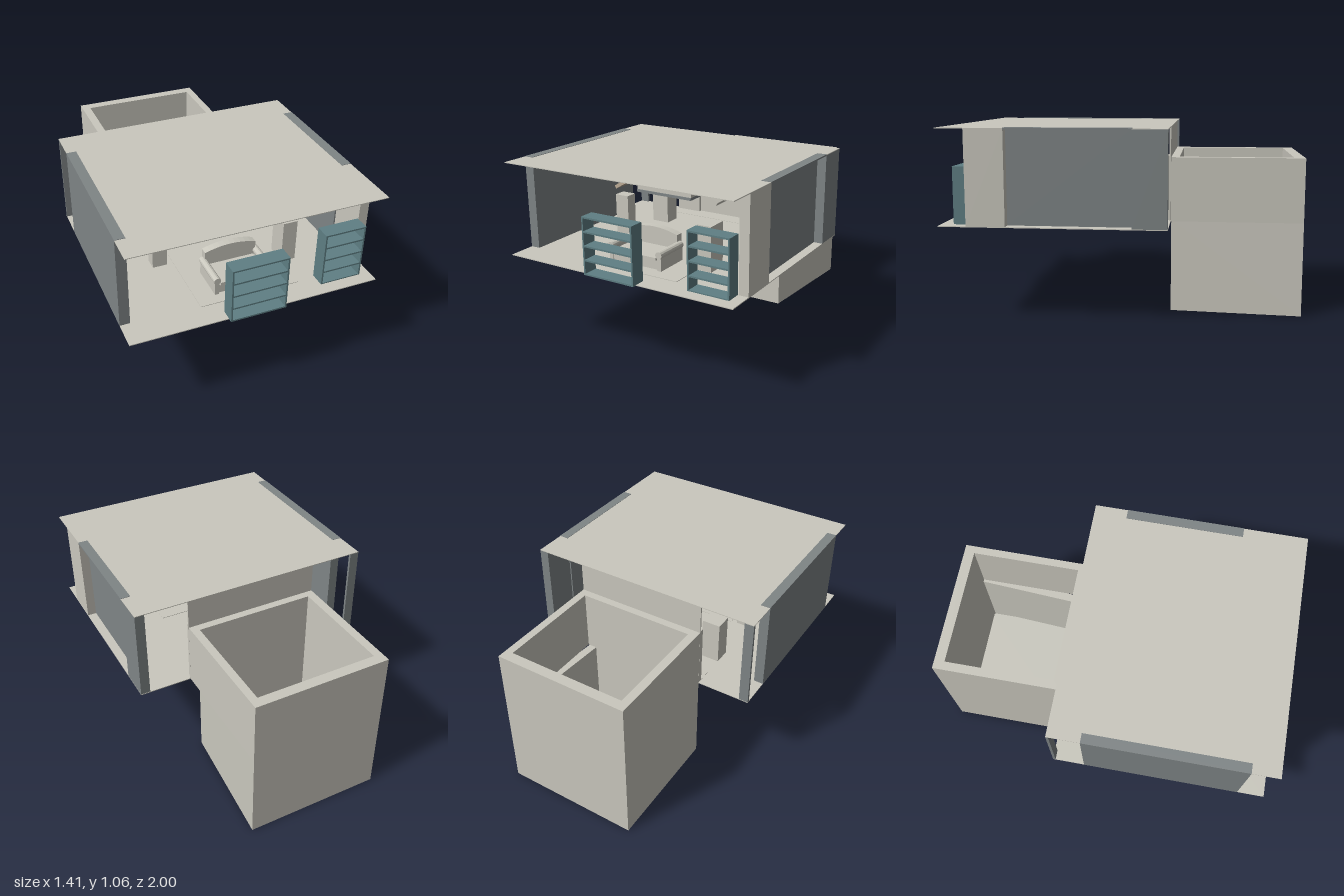
import * as THREE from 'three';

const mat = (color, side = THREE.FrontSide) =>
  new THREE.MeshStandardMaterial({ color, side, flatShading: true });
const cream = mat(0xcac8be, THREE.DoubleSide);
const slate = mat(0x7f8586, THREE.DoubleSide);
const teal = mat(0x5f7f84);
const tan = mat(0xbfae98);

const FLOOR = 0.535, CEIL = 1.058;

export function createModel() {
  const model = new THREE.Group();

  // Box given by its minimum and maximum corners
  const box = (name, [x0, x1], [y0, y1], [z0, z1], material = cream, parent = model) => {
    const mesh = new THREE.Mesh(new THREE.BoxGeometry(x1 - x0, y1 - y0, z1 - z0), material);
    mesh.position.set((x0 + x1) / 2, (y0 + y1) / 2, (z0 + z1) / 2);
    mesh.name = name;
    parent.add(mesh);
    return mesh;
  };

  // Hollow wall ring: plan outline with a rectangular hole, raised from y0 to y1
  const ring = (name, outline, hole, y0, y1) => {
    const toPoints = pts => pts.map(([x, z]) => new THREE.Vector2(x, -z));
    const shape = new THREE.Shape(toPoints(outline));
    shape.holes.push(new THREE.Path(toPoints(hole)));
    const geometry = new THREE.ExtrudeGeometry(shape, { depth: y1 - y0, bevelEnabled: false });
    geometry.rotateX(-Math.PI / 2);
    const mesh = new THREE.Mesh(geometry, cream);
    mesh.position.y = y0;
    mesh.name = name;
    model.add(mesh);
  };

  // Floor and roof slabs
  box('floor', [-0.705, 0.705], [0.53, FLOOR], [-0.265, 0.975]);
  box('roof', [-0.705, 0.705], [CEIL, 1.062], [-0.265, 0.975]);
  box('rug', [-0.27, 0.3], [0.523, 0.538], [0.35, 0.84]);
  box('backStep', [-0.39, 0.345], [0.525, 0.537], [-0.26, -0.15]);

  // Open-topped shaft behind the room, its left wall slanting in plan below the floor
  const hole = [[-0.34, -0.31], [0.3, -0.31], [0.34, -0.94], [-0.34, -0.94]];
  const upperHole = [[-0.34, -0.31], [0.355, -0.31], [0.355, -0.94], [-0.34, -0.94]];
  ring('shaftLower', [[-0.39, -0.265], [0.345, -0.265], [0.4, -1], [-0.39, -1]], hole, 0, 0.53);
  ring('shaftUpper', [[-0.39, -0.265], [0.4, -0.265], [0.4, -1], [-0.39, -1]], upperHole, 0.53, 0.89);
  box('shaftBottom', [-0.36, 0.33], [0.001, 0.04], [-0.97, -0.29]);

  // Back wall of the room and the pillars beside its middle
  box('backWall', [-0.39, 0.4], [FLOOR, CEIL], [-0.264, -0.255]);
  box('rightPillar', [-0.39, -0.23], [FLOOR, 0.895], [-0.255, -0.235]);
  box('leftPillar', [0.24, 0.395], [FLOOR, 0.895], [-0.255, -0.235]);

  // Right side wall and corner post
  box('rightWall', [-0.706, -0.65], [0.532, 1.064], [-0.08, 0.82], slate);
  box('rightCornerPost', [-0.705, -0.65], [FLOOR, CEIL], [-0.265, -0.25], slate);

  // Left side wall: two full-depth piers with a recessed panel under a cap
  box('leftFrontPier', [0.65, 0.705], [FLOOR, CEIL], [0.605, 0.82]);
  box('leftBackPier', [0.65, 0.705], [FLOOR, CEIL], [-0.264, -0.075], slate);
  box('leftPanel', [0.642, 0.652], [FLOOR, CEIL], [-0.075, 0.605], slate);
  box('leftPanelCap', [0.65, 0.706], [1.055, 1.064], [-0.075, 0.605], slate);

  // Open shelving racks at the front
  const rack = (name, x0, x1, z0, z1) => {
    const group = new THREE.Group();
    group.name = name;
    const t = 0.009, y0 = 0.532, y1 = 0.852;
    box('rackSide', [x0, x0 + t], [y0, y1], [z0, z1], teal, group);
    box('rackSide', [x1 - t, x1], [y0, y1], [z0, z1], teal, group);
    for (let i = 0; i < 5; i++) {
      const y = y0 + (i * (y1 - y0 - t)) / 4;
      box('rackShelf', [x0 + t, x1 - t], [y, y + t], [z0, z1], teal, group);
    }
    model.add(group);
  };
  rack('middleRack', -0.17, 0.145, 0.915, 1);
  rack('leftRack', 0.405, 0.645, 0.82, 0.905);

  // Sofa with an arched back and rolled arms
  const sofa = new THREE.Group();
  sofa.name = 'sofa';
  box('sofaBase', [-0.15, 0.15], [0.55, 0.6], [0.57, 0.78], cream, sofa);
  box('sofaCushion', [-0.135, 0.135], [0.6, 0.615], [0.61, 0.785], cream, sofa);
  const back = new THREE.Shape();
  back.moveTo(-0.15, 0.55);
  back.lineTo(0.15, 0.55);
  back.lineTo(0.15, 0.69);
  back.quadraticCurveTo(0, 0.74, -0.15, 0.69);
  const backMesh = new THREE.Mesh(
    new THREE.ExtrudeGeometry(back, { depth: 0.045, bevelEnabled: false, curveSegments: 10 }), cream);
  backMesh.position.z = 0.56;
  backMesh.name = 'sofaBack';
  sofa.add(backMesh);
  for (const s of [-1, 1]) {
    const x = s * 0.155;
    box('sofaArm', [x - 0.012, x + 0.012], [0.545, 0.63], [0.58, 0.785], cream, sofa);
    const roll = new THREE.Mesh(new THREE.CylinderGeometry(0.02, 0.02, 0.21, 12), cream);
    roll.rotation.x = Math.PI / 2;
    roll.position.set(x, 0.633, 0.685);
    roll.name = 'sofaArmRoll';
    sofa.add(roll);
  }
  model.add(sofa);

  // Cabinets along the sides
  box('rightBackCabinet', [-0.39, -0.28], [FLOOR, 0.79], [-0.04, 0.06]);
  box('rightFrontCabinet', [-0.39, -0.305], [FLOOR, 0.795], [0.36, 0.43]);
  box('leftCabinet', [0.3, 0.385], [FLOOR, 0.787], [0.52, 0.64]);

  // Hanging canopy with a sloping board on each side
  box('canopy', [-0.18, 0.175], [0.875, 0.965], [0.28, 0.5]);
  box('canopyRail', [-0.18, 0.175], [0.86, 0.875], [0.275, 0.505], slate);
  for (const s of [-1, 1]) {
    const board = box('canopyBoard', [-0.09, 0.09], [-0.01, 0.01], [0.28, 0.5], s < 0 ? tan : cream);
    board.position.x = s * 0.258;
    board.position.y = 0.91;
    board.rotation.z = -s * 0.54;
  }
  return model;
}
